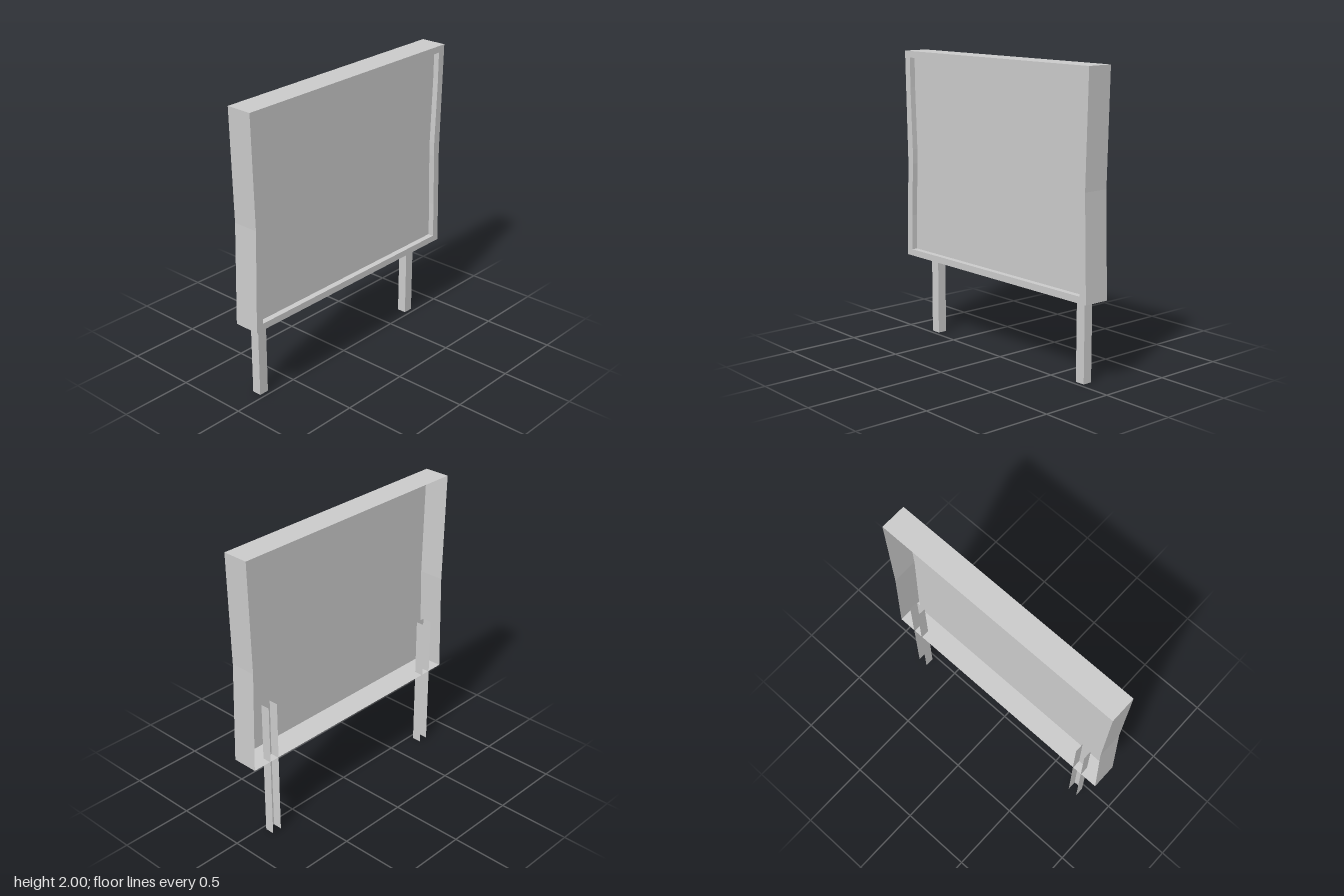
import * as THREE from 'three';

const FRONT = 0.09, BACK = -0.09, PANEL = 0.05;
const grey = new THREE.MeshStandardMaterial({ color: 0xcccccc, flatShading: true, side: THREE.DoubleSide });

// Sheet swept along local z from a 2D path; z0 < z1 faces outward on a counter-clockwise path
function strip(path, z0, z1, closed) {
  const pos = [];
  const count = closed ? path.length : path.length - 1;
  for (let i = 0; i < count; i++) {
    const [px, py] = path[i], [qx, qy] = path[(i + 1) % path.length];
    pos.push(px, py, z0, qx, qy, z0, qx, qy, z1, px, py, z0, qx, qy, z1, px, py, z1);
  }
  const geo = new THREE.BufferGeometry();
  geo.setAttribute('position', new THREE.Float32BufferAttribute(pos, 3));
  geo.computeVertexNormals();
  return geo;
}

// Closed counter-clockwise outline mirrored from one side's points (bottom to top)
const mirrored = (side) => [...side, ...side.map(([x, y]) => [-x, y]).reverse()];
const toVectors = (pts) => pts.map(([x, y]) => new THREE.Vector2(x, y));

export function createModel() {
  const group = new THREE.Group();
  const add = (name, geo) => {
    const mesh = new THREE.Mesh(geo, grey);
    mesh.name = name;
    group.add(mesh);
    return mesh;
  };

  // Outlines with pinched sides
  const outer = mirrored([[0.9, 0.56], [0.88, 1.25], [0.9, 2]]);
  const inner = mirrored([
    [0.845, 0.605], [0.843, 0.85], [0.826, 1.22], [0.826, 1.32], [0.843, 1.75], [0.845, 1.955],
  ]);

  // Cabinet shell, open at the back
  add('cabinetShell', strip(outer, BACK, FRONT, true).rotateY(Math.PI / 2));

  // Front rim around the recess
  const rim = new THREE.Shape(toVectors(outer));
  rim.holes.push(new THREE.Path(toVectors(inner)));
  add('frontRim', new THREE.ShapeGeometry(rim).rotateY(Math.PI / 2).translate(FRONT, 0, 0));

  // Recess walls and display panel
  add('recessWalls', strip(inner, FRONT, PANEL, true).rotateY(Math.PI / 2));
  const panel = new THREE.ShapeGeometry(new THREE.Shape(toVectors(inner)));
  add('displayPanel', panel.rotateY(Math.PI / 2).translate(PANEL, 0, 0));

  // Two channel-section posts, open towards the back
  const channel = [[-0.095, -0.035], [-0.03, -0.035], [-0.03, 0.035], [-0.095, 0.035]];
  for (const [name, z] of [['leftPost', 0.741], ['rightPost', -0.734]]) {
    add(name, strip(channel, 0, 0.96, false).rotateX(-Math.PI / 2)).position.z = z;
  }

  return group;
}
